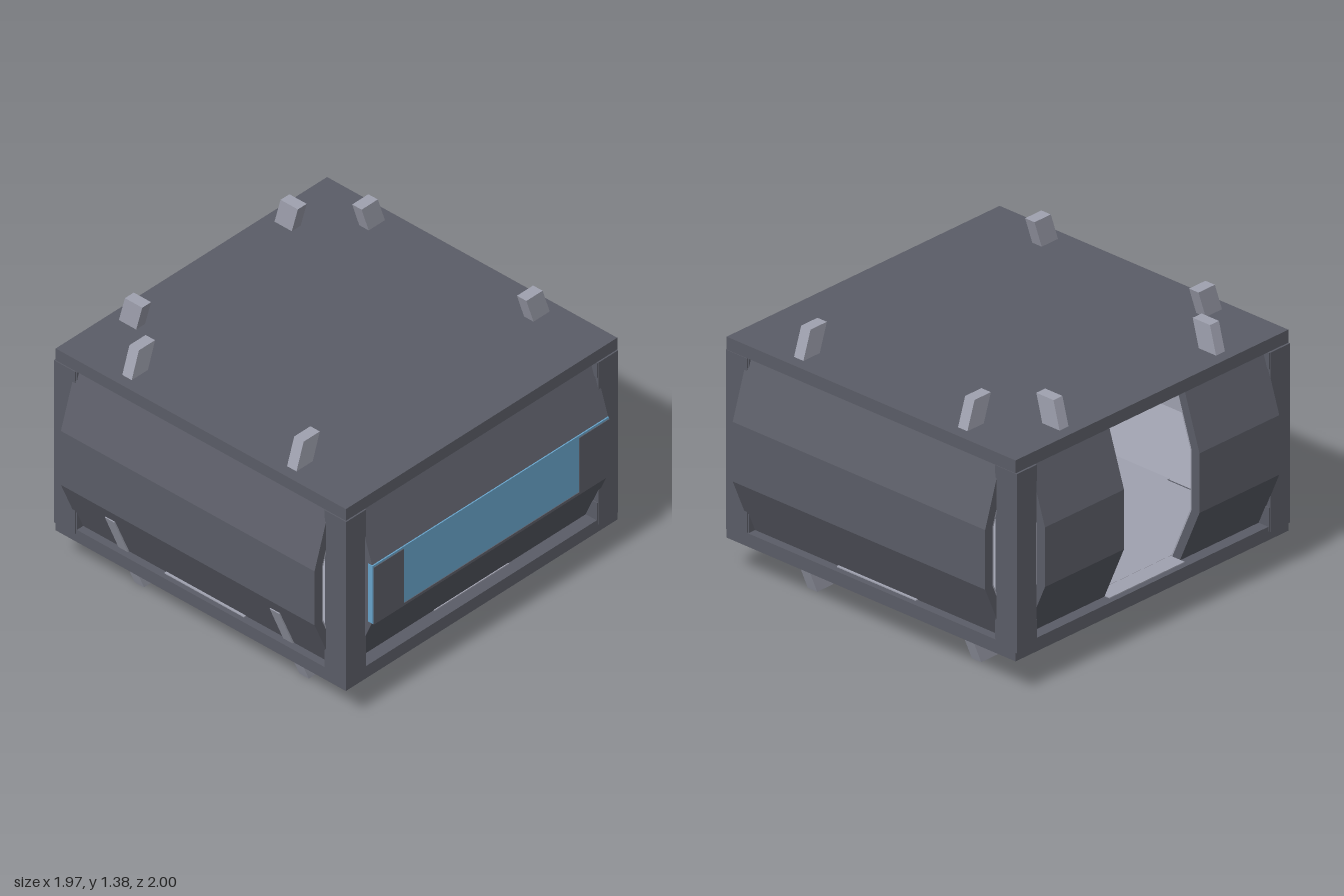
import * as THREE from 'three';

const mat = (name, color, side = THREE.FrontSide) => {
  const m = new THREE.MeshStandardMaterial({ color, side });
  m.name = name;
  return m;
};

export function createModel() {
  const model = new THREE.Group();
  model.name = 'bulgingModule';
  const hull = mat('dark hull grey', 0x5b5d67);
  const light = mat('light grey', 0xa0a2b0);
  const blue = mat('window blue', 0x68a4cb);

  const box = (name, material, x0, x1, y0, y1, z0, z1, parent = model) => {
    const mesh = new THREE.Mesh(new THREE.BoxGeometry(x1 - x0, y1 - y0, z1 - z0), material);
    mesh.position.set((x0 + x1) / 2, (y0 + y1) / 2, (z0 + z1) / 2);
    mesh.name = name;
    parent.add(mesh);
  };

  // Profile of [outward, height] points, extruded sideways from a to b
  const prism = (name, material, points, a, b, parent) => {
    const shape = new THREE.Shape(points.map(p => new THREE.Vector2(...p)));
    const geo = new THREE.ExtrudeGeometry(shape, { depth: b - a, bevelEnabled: false });
    geo.translate(0, 0, a);
    const mesh = new THREE.Mesh(geo, material);
    mesh.name = name;
    parent.add(mesh);
  };

  // Each side is built facing +x and then turned into place
  const side = (name, angle) => {
    const g = new THREE.Group();
    g.name = name;
    g.rotation.y = angle;
    model.add(g);
    return g;
  };

  // Bent wall panel with a light inner lining
  const wall = (parent, reach, a, b) => {
    const line = d => [[reach - 0.125 - d, 0.26], [reach - d, 0.55],
      [reach - d, 0.86], [reach - 0.1 - d, 1.17]];
    prism('wallPanel', hull, [...line(0), ...line(0.05).reverse()], a, b, parent);
    prism('wallLining', light, [...line(0.05), ...line(0.058).reverse()], a, b, parent);
  };

  // Slanted strut: out0 and out1 are its outer edge at heights y0 and y1
  const strut = (name, parent, at, out0, y0, out1, y1) => prism(name, light,
    [[out0 - 0.11, y0], [out0, y0], [out1, y1], [out1 - 0.11, y1]], at - 0.03, at + 0.03, parent);

  // Roof, floor slab and light inner floor
  box('roof', hull, -0.92, 0.922, 1.168, 1.235, -0.922, 0.918);
  box('floorSlab', hull, -0.92, 0.922, 0.19, 0.26, -0.922, 0.918);
  box('innerFloor', light, -0.8, 0.8, 0.258, 0.266, -0.8, 0.8);
  box('floorStripAcross', light, -0.89, 0.86, 0.258, 0.265, -0.255, 0.25);
  box('floorStripAlong', light, -0.255, 0.25, 0.258, 0.265, -0.89, 0.89);

  // Corner posts with slightly wider ends
  for (const sx of [-1, 1]) for (const sz of [-1, 1]) {
    const post = new THREE.Group();
    post.name = 'cornerPost';
    post.position.set(sx * 0.86, 0, sz * 0.855);
    model.add(post);
    box('postShaft', hull, -0.068, 0.068, 0.235, 1.166, -0.067, 0.067, post);
    for (const [y0, y1] of [[0.237, 0.36], [1.08, 1.164]]) {
      box('postEnd', hull, -0.075, 0.065, y0, y1, -0.072, 0.062, post);
      post.children.at(-1).position.x *= sx;
      post.children.at(-1).position.z *= sz;
    }
  }

  // Front and back: full walls with two pairs of struts
  for (const [name, angle, foot] of [['frontSide', -Math.PI / 2, 0.775], ['backSide', Math.PI / 2, 0.765]]) {
    const g = side(name, angle);
    wall(g, 1, -0.8, 0.81);
    for (const at of [-0.523, 0.523]) {
      strut('lowerStrut', g, at, foot, 0, foot + 0.2016, 0.48);
      strut('upperStrut', g, at, 0.96, 0.93, 0.81, 1.38);
    }
  }

  // Doorway side (-x): two half walls, each with struts
  const door = side('doorSide', Math.PI);
  wall(door, 0.983, -0.79, -0.252);
  wall(door, 0.983, 0.257, 0.79);
  for (const at of [-0.525, 0.53]) {
    strut('lowerStrut', door, at, 0.672, 0.01, 0.924, 0.48);
    strut('upperStrut', door, at, 0.94, 0.93, 0.82, 1.38);
  }

  // Window side (+x): blue pane framed by grey end plates
  const win = side('windowSide', 0);
  wall(win, 0.977, -0.805, 0.795);
  box('windowPane', blue, 0.95, 0.98, 0.54, 0.872, -0.803, 0.798, win);
  for (const [a, b] of [[-0.805, -0.6], [0.59, 0.793]])
    box('windowEndPlate', hull, 0.976, 0.984, 0.54, 0.862, a, b, win);
  box('windowSill', hull, 0.976, 0.984, 0.536, 0.55, -0.805, 0.793, win);

  return model;
}
